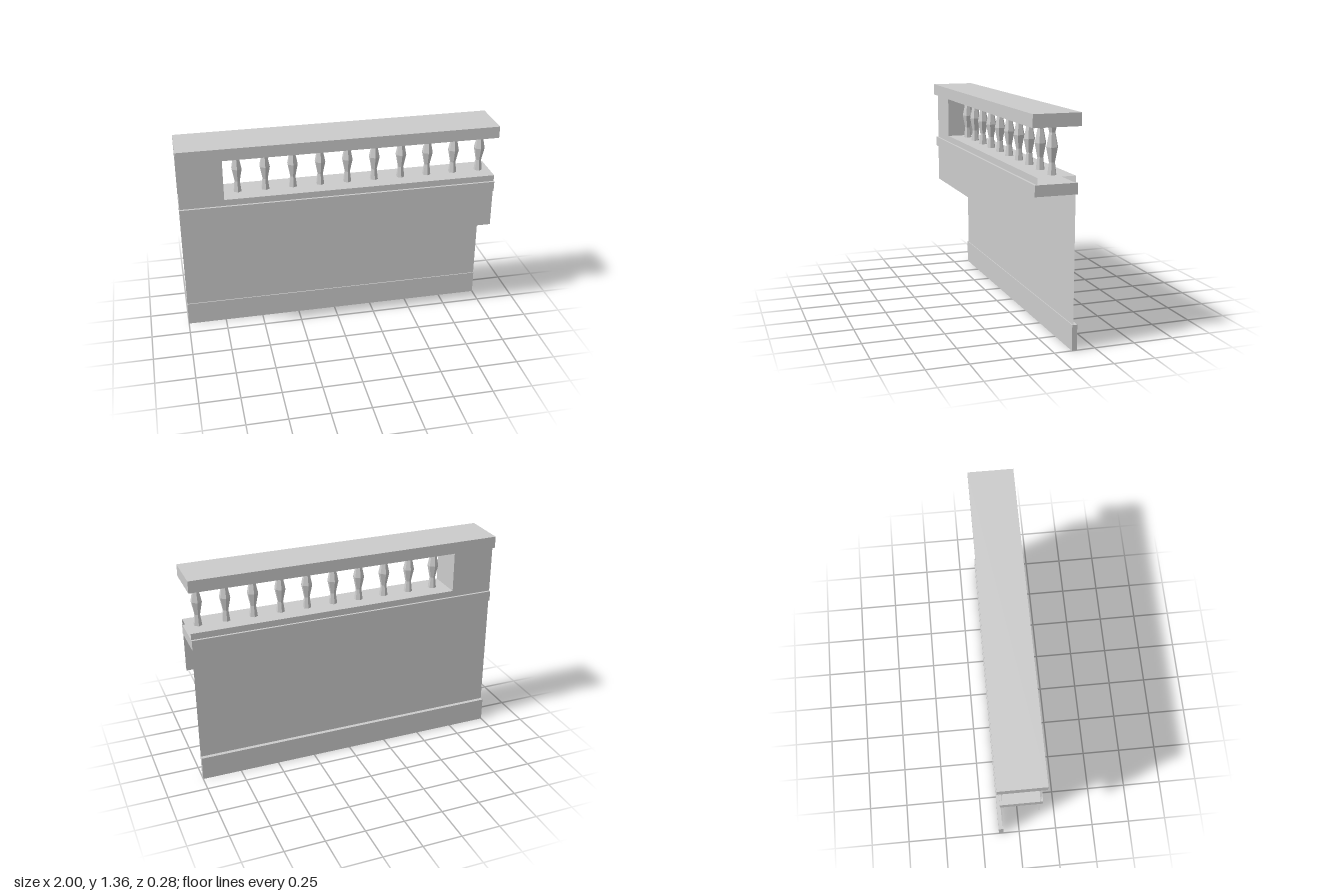
import * as THREE from 'three';

export function createModel() {
  const group = new THREE.Group();
  const solid = new THREE.MeshStandardMaterial({ color: 0xcccccc, flatShading: true });
  const sheet = new THREE.MeshStandardMaterial({ color: 0xcccccc, side: THREE.DoubleSide });

  const add = (name, geometry, material = solid) => {
    const mesh = new THREE.Mesh(geometry, material);
    mesh.name = name;
    group.add(mesh);
    return mesh;
  };

  // Full-length bar between two heights and two depths
  const bar = (name, y0, y1, z0, z1) =>
    add(name, new THREE.BoxGeometry(2, y1 - y0, z1 - z0))
      .position.set(0, (y0 + y1) / 2, (z0 + z1) / 2);

  const ledgeY = 1.01, capY = 1.28, pierX = -0.727, wallZ = 0.113;

  bar('handrail', capY, 1.355, -0.142, 0.142);
  bar('cornice', 0.905, 0.97, -0.127, 0.127);
  bar('baseboard', 0, 0.153, -0.138, -0.107);

  // Thin wall faces, each rising into the pier at the right end
  const wall = (name, bottom, z) => {
    const outline = [[-1, bottom], [1, bottom], [1, ledgeY], [pierX, ledgeY], [pierX, capY], [-1, capY]];
    const shape = new THREE.Shape(outline.map(([x, y]) => new THREE.Vector2(x, y)));
    const geometry = new THREE.ShapeGeometry(shape);
    if (z < 0) {
      // Turn the sheet to face backwards without mirroring the outline
      geometry.scale(-1, 1, 1);
      geometry.setIndex([...geometry.index.array].reverse());
      geometry.rotateY(Math.PI);
      geometry.computeVertexNormals();
    }
    add(name, geometry, sheet).position.z = z;
  };
  wall('frontWall', 0.655, wallZ);
  wall('backWall', 0, -wallZ);

  // Inner face of the pier
  const pierSide = add('pierSide', new THREE.PlaneGeometry(wallZ * 2, capY - ledgeY), sheet);
  pierSide.rotation.y = Math.PI / 2;
  pierSide.position.set(pierX, (capY + ledgeY) / 2, 0);

  // Ledge under the balusters
  const ledge = add('ledge', new THREE.PlaneGeometry(1 - pierX, wallZ * 2), sheet);
  ledge.rotation.x = -Math.PI / 2;
  ledge.position.set((1 + pierX) / 2, ledgeY, 0);

  // Row of six-sided balusters
  const profile = [[0.027, ledgeY], [0.018, 1.08], [0.035, 1.163], [0.018, 1.245], [0.027, capY]]
    .map(([r, y]) => new THREE.Vector2(r, y));
  const balusterGeometry = new THREE.LatheGeometry(profile, 6);
  for (let i = 0; i < 10; i++) {
    add(`baluster${i + 1}`, balusterGeometry).position.x = -0.633 + i * 0.1735;
  }

  return group;
}
